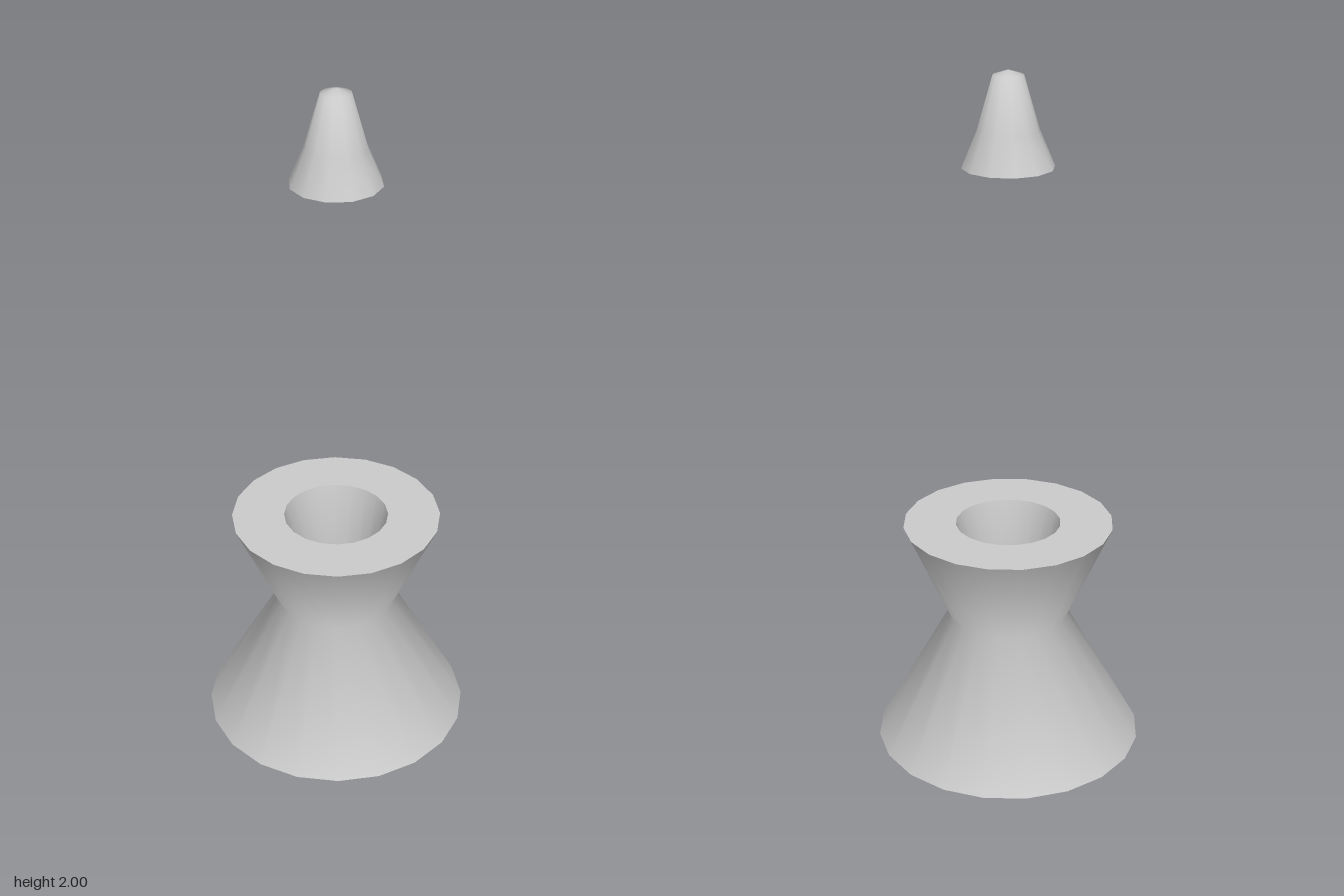
import * as THREE from 'three';
import { toCreasedNormals } from 'three/addons/utils/BufferGeometryUtils.js';

const material = new THREE.MeshStandardMaterial({ color: 0xcccccc });

// Turned part: smooth walls, sharp rims
function turned(name, profile, sides) {
  const points = profile.map(([r, y]) => new THREE.Vector2(r, y));
  const geometry = toCreasedNormals(new THREE.LatheGeometry(points, sides), 1.1);
  const mesh = new THREE.Mesh(geometry, material);
  mesh.name = name;
  return mesh;
}

export function createModel() {
  const group = new THREE.Group();
  group.name = 'hourglassBaseWithTip';

  // Hollow waisted base; the bore is half the outer radius all the way up
  const outer = [[0.393, 0], [0.175, 0.397], [0.306, 0.688]];
  const bore = outer.map(([r, y]) => [r / 2, y]).reverse();
  group.add(turned('hollowBase', [...outer, ...bore, outer[0]], 20));

  // Small solid tip floating above the base
  group.add(turned('floatingTip',
    [[0, 1.74], [0.127, 1.74], [0.085, 1.84], [0.042, 1.987], [0, 2]], 12));

  return group;
}
